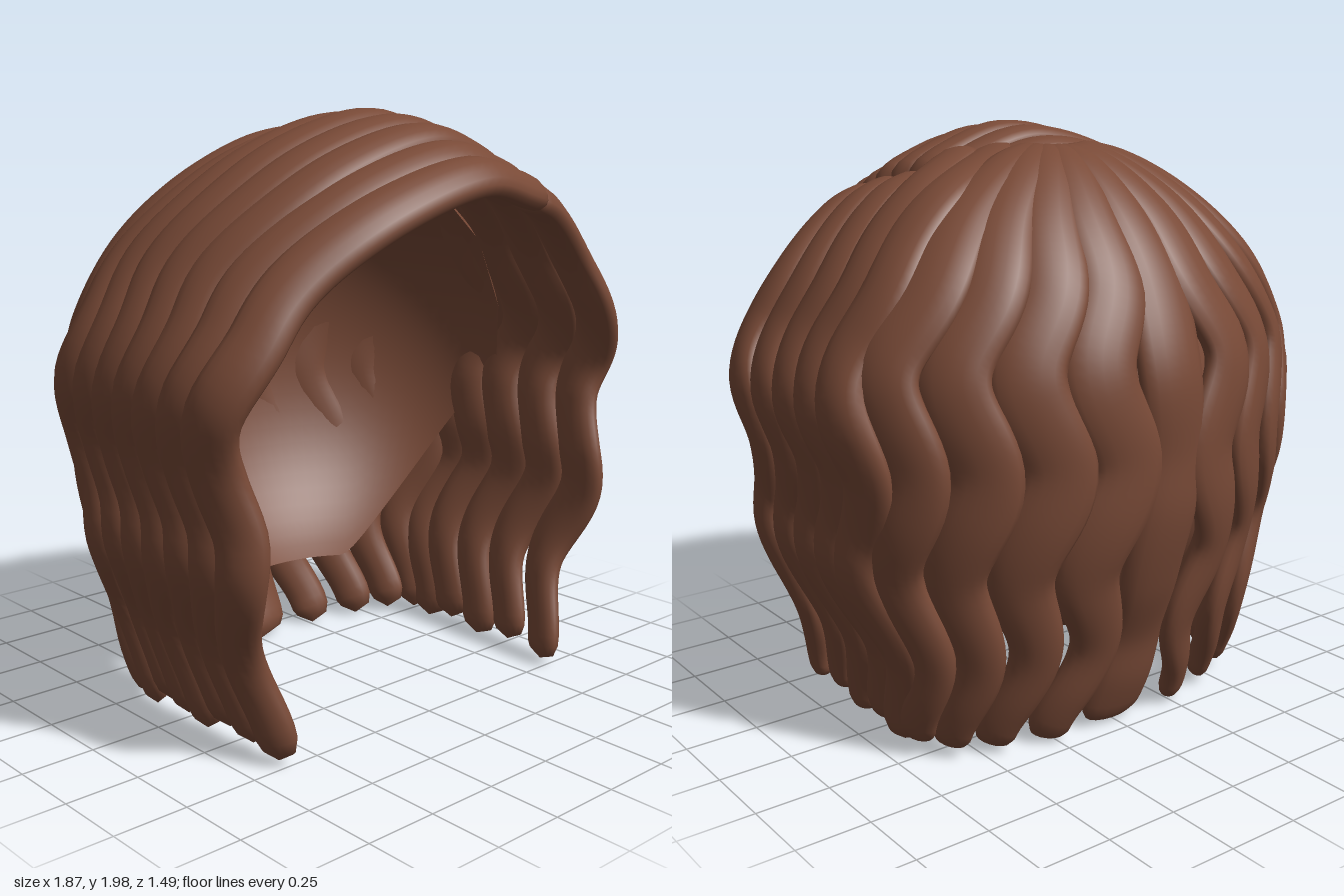
import * as THREE from 'three';

const V = (x, y, z) => new THREE.Vector3(x, y, z);
const lerp = THREE.MathUtils.lerp, smooth = THREE.MathUtils.smoothstep;

// Flattened, waving, round-ended lock swept along a path.
// flat: how far the outward direction ignores z; tip, root: share of the width at the ends
function lockGeometry(points, { width, thick, wave, flat, tip, root }) {
  const N = 72, M = 16;
  const curve = new THREE.CatmullRomCurve3(points, false, 'centripetal');
  const outward = p => V(p.x, p.y - Math.min(p.y, 1.05), p.z * (1 - flat)).normalize();
  const path = curve.getSpacedPoints(N).map(p => {
    const n = outward(p).setY(0).normalize();
    const a = -wave * (1 - smooth(p.y, 1.35, 1.8)) * Math.cos((p.y - 1) * Math.PI * 2 / 0.62);
    return p.add(V(-n.z * a, 0, n.x * a));
  });
  const pos = [], index = [];
  path.forEach((p, i) => {
    const u = i / N;
    const T = path[Math.min(i + 1, N)].clone().sub(path[Math.max(i - 1, 0)]).normalize();
    const n = outward(p);
    n.addScaledVector(T, -n.dot(T)).normalize();
    const B = n.clone().cross(T);
    const e = Math.min(1, u / 0.035, (1 - u) / 0.035);
    const round = Math.max(0.02, Math.sqrt(1 - (1 - e) ** 2));
    const w = width * round * lerp(root, 1, smooth(u, 0, 0.35)) * lerp(1, tip, smooth(u, 0.6, 0.95));
    const t = thick * round * lerp(1, 0.8, smooth(u, 0.7, 1));
    for (let j = 0; j < M; j++) {
      const a = j / M * Math.PI * 2;
      const q = p.clone().addScaledVector(B, Math.cos(a) * w).addScaledVector(n, Math.sin(a) * t);
      pos.push(q.x, q.y, q.z);
      if (i < N) {
        const k = i * M + j, l = i * M + (j + 1) % M;
        index.push(k, l, k + M, l, l + M, k + M);
      }
    }
  });
  for (let j = 1; j < M - 1; j++) {
    index.push(0, j + 1, j, N * M, N * M + j, N * M + j + 1);
  }
  const g = new THREE.BufferGeometry();
  g.setAttribute('position', new THREE.Float32BufferAttribute(pos, 3));
  g.setIndex(index);
  g.computeVertexNormals();
  return g;
}

// Inner cap: ellipsoid that reaches low at the nape and is cut away over the face
function capGeometry() {
  const g = new THREE.PlaneGeometry(1, 1, 96, 32), p = g.attributes.position;
  for (let i = 0; i < p.count; i++) {
    const phi = (p.getX(i) + 0.5) * Math.PI * 2, v = 0.5 - p.getY(i);
    const back = -Math.cos(phi);
    const edgeY = back > 0 ? lerp(0.95, 0.34, smooth(back, 0, 0.75)) : lerp(0.95, 1.76, smooth(-back, 0, 0.3));
    const th = v * Math.acos((edgeY - 1.05) / 0.8);
    p.setXYZ(i, 0.82 * Math.sin(th) * Math.sin(phi), 1.05 + 0.8 * Math.cos(th), 0.64 * Math.sin(th) * Math.cos(phi));
  }
  g.computeVertexNormals();
  return g;
}

export function createModel() {
  const model = new THREE.Group();
  model.name = 'wavyHair';
  const brown = new THREE.MeshStandardMaterial({ color: 0x794a37, side: THREE.DoubleSide });
  brown.name = 'chestnutBrown';
  const add = (name, geometry) => {
    const mesh = new THREE.Mesh(geometry, brown);
    mesh.name = name;
    model.add(mesh);
  };

  add('innerCap', capGeometry());

  // Hanging part shared by both sides: x, y, and share of the way from side z to tip z
  const hang = [[0.88, 1.18, 0], [0.83, 0.95, 0], [0.81, 0.8, 0.1], [0.815, 0.64, 0.3], [0.70, 0.33, 0.75], [0.645, 0.03, 1]];
  const hangPoints = (s, zSide, zTip, rise) =>
    hang.map(([x, y, k]) => V(s * (x - 0.03 * Math.max(0, Math.abs(zSide) - 0.2)), y + k * rise, lerp(zSide, zTip, k)));

  // Long locks combed from the parting across the top to the right side:
  // z at parting, z on top, height on top, z at side, z at tip
  const rightLocks = [
    [0.60, 0.665, 1.795, 0.49, 0.43], [0.52, 0.56, 1.845, 0.36, 0.31], [0.43, 0.45, 1.90, 0.23, 0.20],
    [0.33, 0.33, 1.93, 0.11, 0.09], [0.22, 0.2, 1.95, -0.01, -0.01], [0.10, 0.07, 1.94, -0.13, -0.10],
    [0.02, -0.06, 1.91, -0.24, -0.18]];
  rightLocks.forEach(([zp, zt, yt, zs, ze], i) => {
    const d = 1.95 - yt;
    const pts = [
      V(0.36, 1.80 - d * 0.5, zp), V(0.22, 1.885 - d * 0.85, lerp(zp, zt, 0.6)), V(0, yt, zt),
      V(-0.33, 1.86 - d, lerp(zt, zs, 0.15)), V(-0.59, 1.675 - d * 0.85, lerp(zt, zs, 0.45)),
      V(-0.765, 1.45 - d * 0.5, lerp(zt, zs, 0.8)), ...hangPoints(-1, zs, ze, (i % 3) * 0.02)];
    add('rightLock' + (i + 1), lockGeometry(pts, { width: 0.095, thick: 0.051, wave: -0.038, flat: 0.35, tip: 0.75, root: 0.85 }));
  });

  // Shorter locks falling from the parting to the left side; the last two spring from the crown
  // x, y, z at root, then y and z below it, z at side, z at tip
  const leftLocks = [
    [0.31, 1.74, 0.56, 1.69, 0.53, 0.45, 0.42], [0.31, 1.78, 0.39, 1.73, 0.36, 0.27, 0.25], [0.31, 1.81, 0.22, 1.76, 0.19, 0.10, 0.09],
    [0.20, 1.90, 0.11, 1.785, 0.01, -0.06, -0.05], [0.10, 1.91, 0.03, 1.775, -0.11, -0.21, -0.17]];
  leftLocks.forEach(([xr, yr, zr, yt, zt, zs, ze], i) => {
    const d = 1.77 - yt;
    const pts = [
      V(xr, yr, zr), V(0.46, yt, zt), V(0.63, 1.62 - d * 0.8, lerp(zt, zs, 0.3)),
      V(0.77, 1.42 - d * 0.4, lerp(zt, zs, 0.75)), ...hangPoints(1, zs, ze, (i % 2) * 0.025)];
    add('leftLock' + (i + 1), lockGeometry(pts, { width: 0.11, thick: 0.053, wave: 0.042, flat: 0.5, tip: 0.75, root: 0.9 }));
  });

  // Back locks fanning out from the crown: rim x, rim z, tip x, tip z, tip height
  const backLocks = [
    [0, -0.685, 0, -0.40, 0.02], [0.22, -0.665, 0.23, -0.42, 0.02], [0.43, -0.59, 0.42, -0.38, 0.03],
    [0.62, -0.48, 0.55, -0.33, 0.04], [0.775, -0.34, 0.62, -0.25, 0.05]];
  backLocks.forEach(([x, z, tx, tz, ty], i) => {
    for (const s of i ? [1, -1] : [1]) {
      const at = (k, y) => V(s * x * k, y, lerp(-0.06, z, k));
      const low = (k, y) => V(s * lerp(x, tx, k), y, lerp(z, tz, k));
      const pts = [
        at(0.06, 1.905), at(0.3, 1.86), at(0.6, 1.72), at(0.84, 1.52), at(1, 1.27), at(0.985, 1.0),
        low(0.07, 0.82), low(0.3, 0.58), low(0.62, 0.36), low(0.75, 0.2), V(s * tx, ty, tz)];
      add((i ? (s > 0 ? 'leftBackLock' : 'rightBackLock') + i : 'centreBackLock'), lockGeometry(pts, {
        width: 0.12, thick: 0.052, wave: i ? 0.048 * s : 0.012, flat: 0, tip: i ? 0.6 : 1, root: 0.7 }));
    }
  });

  return model;
}
